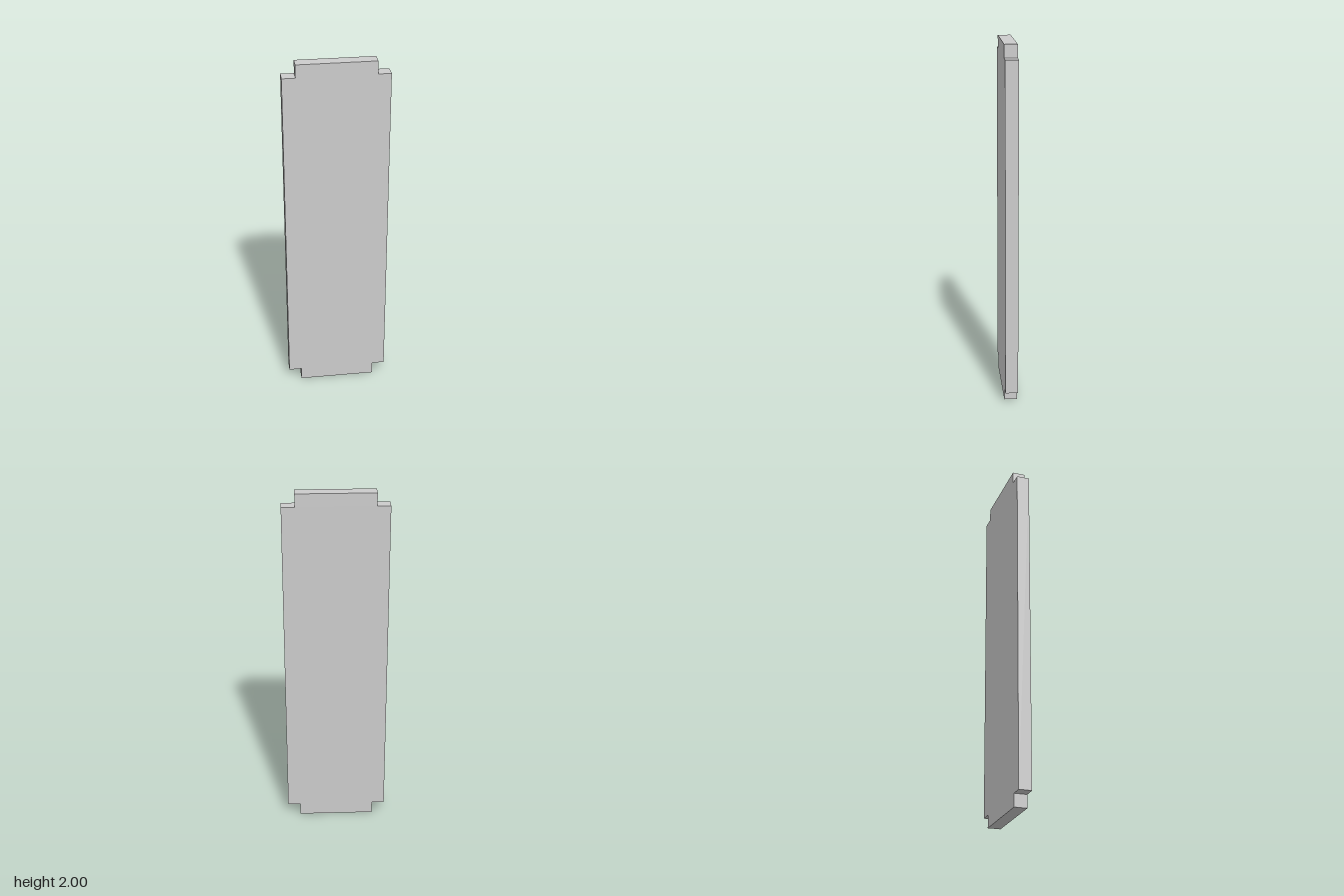
import * as THREE from 'three';

const UNIT = 1 / 14; // panel thickness, also the size of each corner notch
const HEIGHT = 2;
const HALF_WIDTH = 4 * UNIT;

// Upright rectangle with a square notch cut from each corner
function notchedOutline() {
  const inner = HALF_WIDTH - UNIT;
  const low = UNIT;
  const high = HEIGHT - UNIT;
  const rightSide = [
    [inner, 0], [inner, low], [HALF_WIDTH, low],
    [HALF_WIDTH, high], [inner, high], [inner, HEIGHT],
  ];
  const leftSide = rightSide.map(([x, y]) => [-x, y]).reverse();
  return new THREE.Shape([...rightSide, ...leftSide].map(([x, y]) => new THREE.Vector2(x, y)));
}

export function createModel() {
  const group = new THREE.Group();
  group.name = 'notchedPanel';

  // Flat panel, extruded and centred on z = 0
  const geometry = new THREE.ExtrudeGeometry(notchedOutline(), { depth: UNIT, bevelEnabled: false });
  geometry.translate(0, 0, -UNIT / 2);
  const material = new THREE.MeshStandardMaterial({ color: 0xcccccc, flatShading: true });
  const panel = new THREE.Mesh(geometry, material);
  panel.name = 'panel';
  group.add(panel);

  return group;
}
